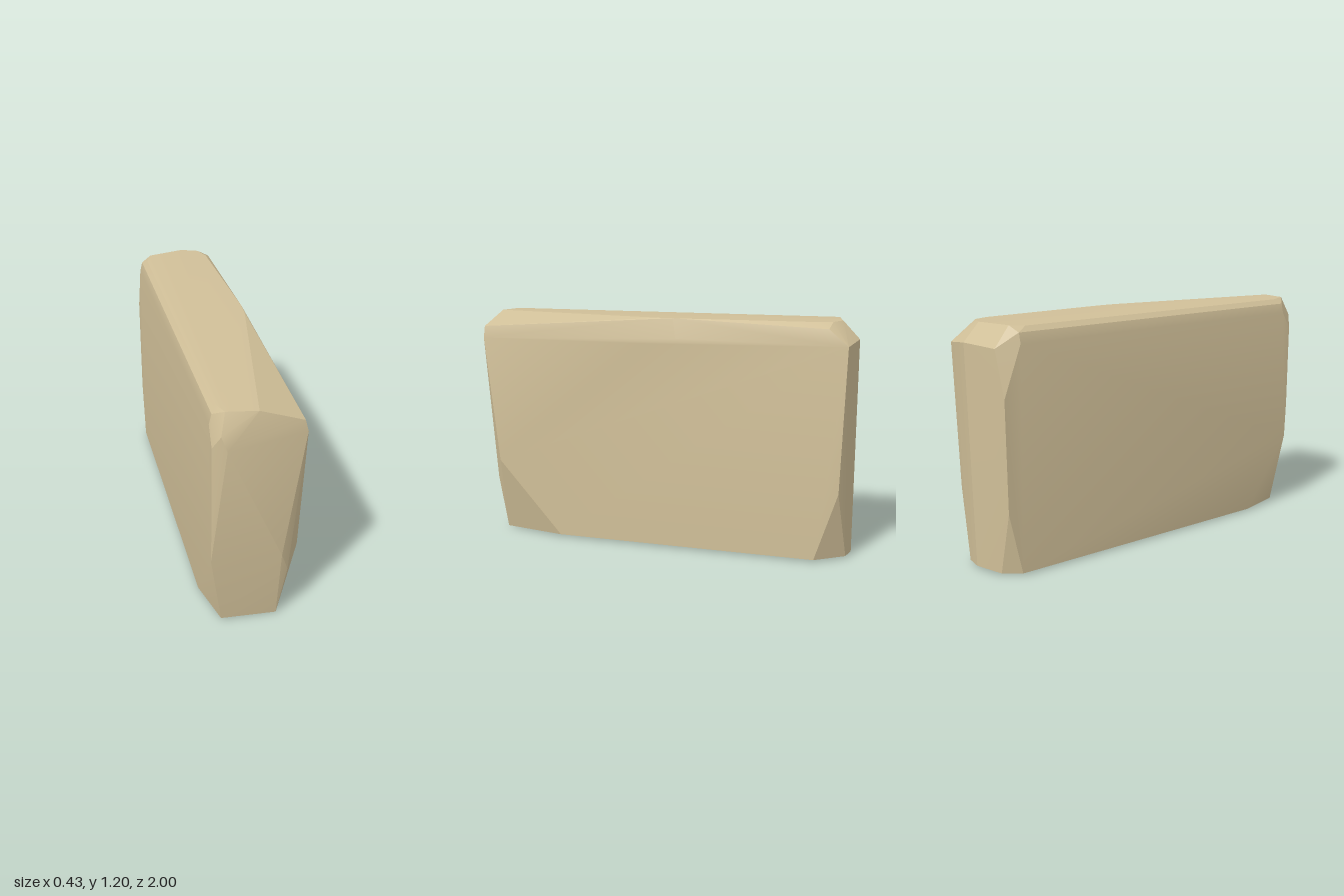
import * as THREE from 'three';
import { ConvexGeometry } from 'three/addons/geometries/ConvexGeometry.js';
import { toCreasedNormals } from 'three/addons/utils/BufferGeometryUtils.js';

const points = (rows) => rows.map(([x, y, z]) => new THREE.Vector3(x, y, z));

export function createModel() {
  const sandstone = new THREE.MeshStandardMaterial({ color: 0xd0bf98 });

  // Front end: bulging face with chipped vertical edges
  const front = points([
    [-0.155, 0.01, 0.905], [0.12, 0, 0.91],
    [-0.215, 0.4, 0.945], [0.12, 0.4, 0.97], [0.16, 0.29, 0.94], [0.213, 0.4, 0.9],
    [-0.215, 0.6, 0.953], [-0.155, 1.03, 1], [-0.18, 1.1, 0.985], [-0.215, 1.03, 0.955],
    [0.213, 1.07, 0.975],
  ]);

  // Back end: rounded face with small triangular cuts at the foot
  const back = points([
    [0.1, 0.01, -0.975], [0.01, 0.01, -0.99], [-0.15, 0.01, -0.95],
    [0.213, 0.36, -0.945], [-0.215, 0.32, -0.94],
    [0.213, 1.09, -0.97], [0.04, 1.11, -1], [-0.16, 1.1, -0.955], [-0.215, 0.87, -0.945],
  ]);

  // Long side edges along the ground and below the top bevels
  const sides = points([
    [0.213, 0.01, 0.55], [0.213, 0.01, -0.83],
    [-0.215, 0.01, 0.66], [-0.215, 0.01, -0.87],
    [-0.215, 1.12, 0.9], [-0.215, 1.12, -0.85],
    [-0.203, 1.17, 0.9], [-0.203, 1.17, -0.85],
    [0.213, 1.07, 0.05], [0.21, 1.1, -0.1],
  ]);

  // Top: flat at the back, sloping away along the front right edge
  const top = points([
    [-0.155, 1.2, 0.945], [-0.18, 1.195, 0.86], [-0.18, 1.195, -0.8],
    [-0.01, 1.2, 0.97], [0.197, 1.13, 0.975], [0.2, 1.13, 0.07], [0.18, 1.2, 0],
    [0.185, 1.2, -0.08], [0.16, 1.2, -0.8], [0.13, 1.2, -0.88], [0.04, 1.2, -0.915], [-0.15, 1.2, -0.87],
    [0.19, 1.17, -0.87],
  ]);

  const hull = new ConvexGeometry([...front, ...back, ...sides, ...top]);
  const block = new THREE.Mesh(toCreasedNormals(hull, 0.3), sandstone);
  block.name = 'stoneBlock';

  const model = new THREE.Group();
  model.name = 'chippedStoneSlab';
  model.add(block);
  return model;
}
